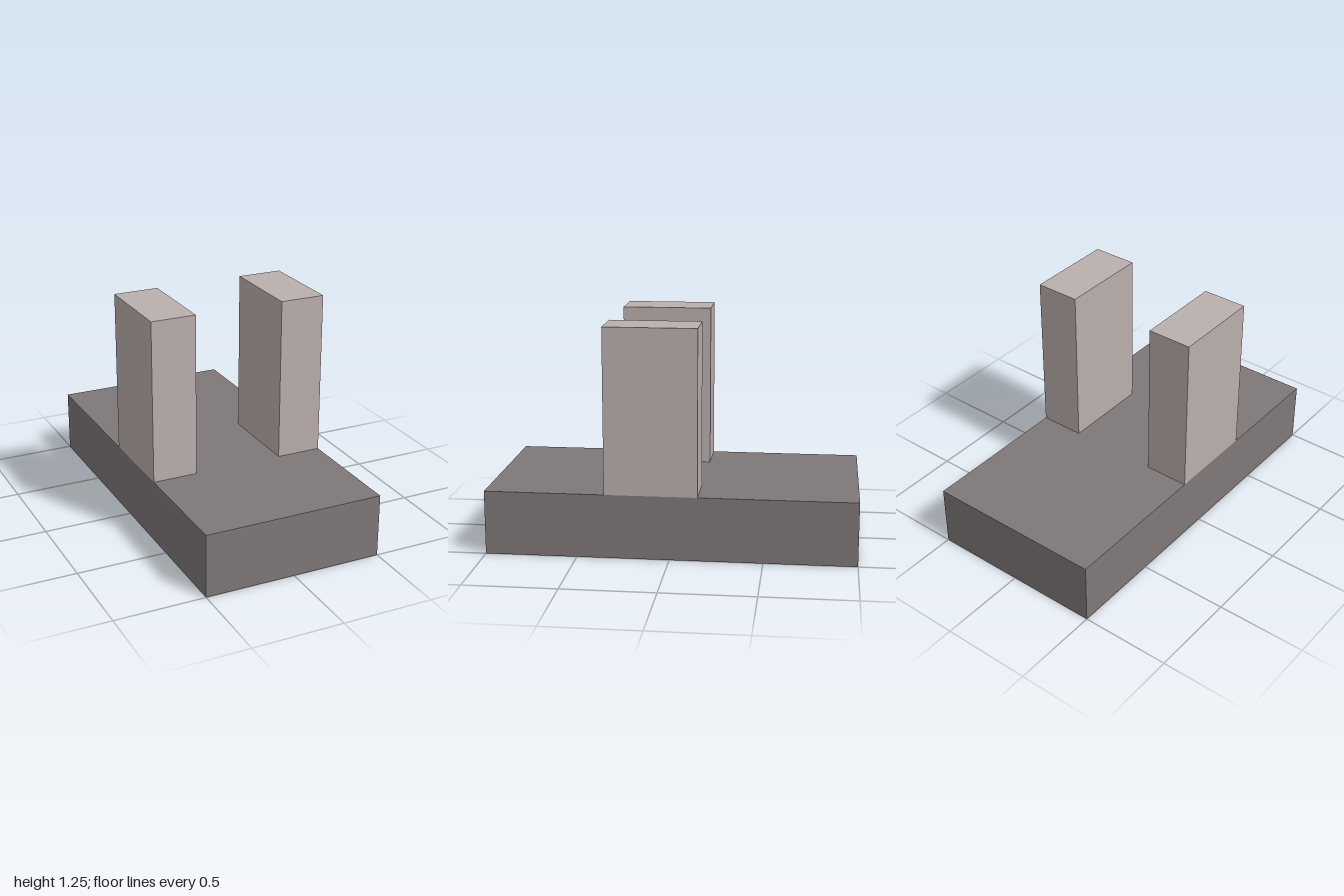
import * as THREE from 'three';

export function createModel() {
  const model = new THREE.Group();
  model.name = 'twinPostBase';

  const darkStone = new THREE.MeshStandardMaterial({ color: 0x7f7879 });
  darkStone.name = 'dark stone';
  const paleStone = new THREE.MeshStandardMaterial({ color: 0xbaafad });
  paleStone.name = 'pale stone';

  // Add a box whose underside sits at height y
  function addBox(name, material, [w, h, d], [x, y, z]) {
    const mesh = new THREE.Mesh(new THREE.BoxGeometry(w, h, d), material);
    mesh.name = name;
    mesh.position.set(x, y + h / 2, z);
    model.add(mesh);
  }

  // Long slab
  addBox('base', darkStone, [1, 0.35, 2], [0, 0, 0]);

  // Mirrored posts, flush with the slab's sides and slightly forward of centre
  for (const [name, side] of [['leftPost', 1], ['rightPost', -1]]) {
    addBox(name, paleStone, [0.25, 0.9, 0.5], [side * 0.375, 0.35, 0.1]);
  }

  return model;
}
